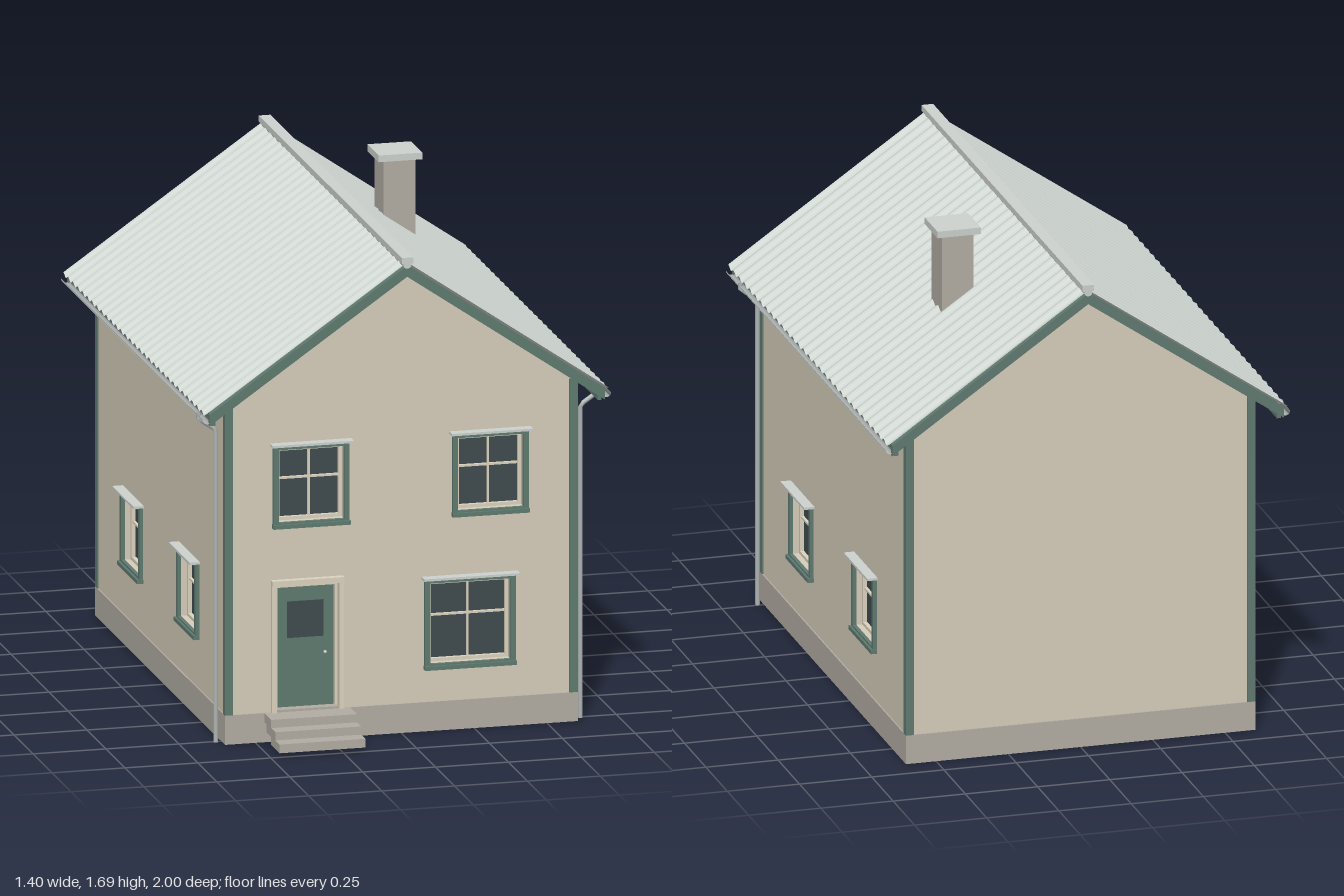
import * as THREE from 'three';

const mat = (color, extra = {}) => new THREE.MeshStandardMaterial({ color, ...extra });
const M = {
  wall: mat(0xd6cdbb), trim: mat(0x5f7a70), cream: mat(0xdcd3bf), glass: mat(0x3f4b4f),
  stone: mat(0xb2ada3), cap: mat(0xcdd2ce),
  sheet: mat(0xd3dad5, { flatShading: true, side: THREE.DoubleSide }),
  gutter: mat(0xaeb5b3, { side: THREE.DoubleSide }),
};

const HALF = 0.6, FRONT = 0.795, BACK = -0.905;       // wall faces
const ROOF_F = 0.88, ROOF_B = -1.0, EAVE = 0.678, SLOPE = 0.69;
const ROOF_MID = (ROOF_F + ROOF_B) / 2, ROOF_LEN = ROOF_F - ROOF_B;
const WALL_T = 0.05;

function add(parent, name, geometry, material, x = 0, y = 0, z = 0) {
  const mesh = new THREE.Mesh(geometry, material);
  mesh.name = name;
  mesh.position.set(x, y, z);
  parent.add(mesh);
  return mesh;
}

// Box given by its limits on each axis
function block(parent, name, material, [x0, x1], [y0, y1], [z0, z1]) {
  return add(parent, name, new THREE.BoxGeometry(x1 - x0, y1 - y0, z1 - z0), material,
    (x0 + x1) / 2, (y0 + y1) / 2, (z0 + z1) / 2);
}

const poly = (pts) => new THREE.Shape(pts.map(([x, y]) => new THREE.Vector2(x, y)));
const rect = (x0, x1, y0, y1) => poly([[x0, y0], [x1, y0], [x1, y1], [x0, y1]]);
const extrude = (shape, depth) => new THREE.ExtrudeGeometry(shape, { depth, bevelEnabled: false });

// Flat rectangular frame around a w x h opening
function ring(w, h, t, depth) {
  const s = rect(-w / 2 - t, w / 2 + t, -h / 2 - t, h / 2 + t);
  s.holes.push(rect(-w / 2, w / 2, -h / 2, h / 2));
  return extrude(s, depth);
}

// Recessed four-pane window; w x h is the wall opening, z = 0 the wall face
function addWindow(parent, { x, y, w, h }) {
  const g = new THREE.Group();
  g.name = 'window';
  g.position.set(x, y, 0);
  parent.add(g);
  const f = 0.011;
  add(g, 'windowTrim', ring(w, h, 0.018, 0.013), M.trim);
  add(g, 'windowFrame', ring(w - 2 * f, h - 2 * f, f, 0.02), M.cream, 0, 0, -0.04);
  add(g, 'windowPane', new THREE.BoxGeometry(w, h, 0.008), M.glass, 0, 0, -0.038);
  add(g, 'verticalBar', new THREE.BoxGeometry(0.007, h - f, 0.012), M.cream, 0, 0, -0.03);
  add(g, 'crossBar', new THREE.BoxGeometry(w - f, 0.007, 0.012), M.cream, 0, h * 0.075, -0.03);
  const o = w / 2 + 0.018;
  block(g, 'windowHood', M.cap, [-o - 0.009, o + 0.009], [h / 2 + 0.014, h / 2 + 0.022], [0, 0.036]);
  block(g, 'windowSill', M.trim, [-o - 0.002, o + 0.002], [-h / 2 - 0.02, -h / 2 - 0.006], [0, 0.021]);
}

// Wall panel with its outer face at local z = 0, plus its windows
function addFacade(parent, name, outline, windows, extraHoles = []) {
  const g = new THREE.Group();
  g.name = name;
  const shape = poly(outline);
  for (const { x, y, w, h } of windows) shape.holes.push(rect(x - w / 2, x + w / 2, y - h / 2, y + h / 2));
  shape.holes.push(...extraHoles);
  add(g, 'wall', extrude(shape, WALL_T), M.wall, 0, 0, -WALL_T);
  windows.forEach((w) => addWindow(g, w));
  parent.add(g);
  return g;
}

function addDoor(g) {
  const [x0, x1, y0, y1] = [-0.43, -0.215, 0.1, 0.535];
  for (const [a, b] of [[x0 - 0.016, x0], [x1, x1 + 0.016]]) {
    block(g, 'doorCasing', M.cream, [a, b], [y0, y1], [0, 0.016]);
  }
  block(g, 'doorHead', M.cream, [x0 - 0.016, x1 + 0.016], [y1, y1 + 0.019], [0, 0.022]);
  for (const [a, b] of [[x0, x0 + 0.009], [x1 - 0.009, x1]]) {
    block(g, 'doorJamb', M.cream, [a, b], [y0, y1], [-0.045, -0.01]);
  }
  block(g, 'doorLintel', M.cream, [x0, x1], [y1 - 0.012, y1], [-0.045, -0.01]);
  block(g, 'doorLeaf', M.trim, [x0, x1], [y0 + 0.006, y1], [-0.045, -0.025]);
  block(g, 'doorThreshold', M.stone, [x0, x1], [y0 - 0.01, y0 + 0.008], [-0.045, 0.008]);
  block(g, 'doorPane', M.glass, [-0.385, -0.26], [0.345, 0.47], [-0.03, -0.022]);
  add(g, 'doorHandle', new THREE.SphereGeometry(0.006, 12, 8), M.cap, -0.255, 0.29, -0.019);
}

// Inverted V band following the roof pitch
function chevron(top, bottom, reach, depth) {
  const d = SLOPE * reach;
  return extrude(poly([[-reach, bottom - d], [0, bottom], [reach, bottom - d],
    [reach, top - d], [0, top], [-reach, top - d]]), depth);
}

// One corrugated roof slope towards +x, centred on z = 0
function corrugatedSlope() {
  const waves = 30, geo = new THREE.PlaneGeometry(ROOF_LEN, 1, waves * 6, 1);
  const p = geo.attributes.position;
  for (let i = 0; i < p.count; i++) {
    const z = -p.getX(i), x = (0.5 - p.getY(i)) * (EAVE + 0.012);
    const wave = 0.006 * Math.cos((z / ROOF_LEN + 0.5) * waves * Math.PI * 2);
    p.setXYZ(i, x, 1.632 - SLOPE * x + wave, z);
  }
  geo.computeVertexNormals();
  return geo;
}

function addRoof(parent) {
  const roof = new THREE.Group();
  roof.name = 'roof';
  parent.add(roof);
  add(roof, 'roofDeck', chevron(1.622, 1.597, EAVE - 0.008, ROOF_LEN - 0.01), M.trim, 0, 0, ROOF_B + 0.005);
  for (const z of [ROOF_B + 0.002, ROOF_F - 0.017]) {
    add(roof, 'bargeBoard', chevron(1.626, 1.588, EAVE, 0.015), M.trim, 0, 0, z);
  }
  const sheet = corrugatedSlope();
  for (const s of [1, -1]) {
    add(roof, 'corrugatedSheet', sheet, M.sheet, 0, 0, ROOF_MID).rotation.y = s > 0 ? 0 : Math.PI;
    // Half-round gutter under the eave
    const gutter = new THREE.CylinderGeometry(0.016, 0.016, ROOF_LEN - 0.01, 12, 1, true, Math.PI / 2, Math.PI);
    gutter.rotateX(-Math.PI / 2).rotateZ(Math.PI);
    const pos = gutter.attributes.position;
    for (let i = 0; i < pos.count; i++) pos.setY(i, -Math.abs(pos.getY(i)));
    add(roof, 'gutter', gutter, M.gutter, s * 0.684, 1.143, ROOF_MID);
    block(roof, 'fascia', M.trim, s > 0 ? [0.655, 0.669] : [-0.669, -0.655], [1.118, 1.155],
      [ROOF_B + 0.01, ROOF_F - 0.01]);
    // Downpipe swept from the gutter to the wall and down to the ground
    const path = new THREE.CurvePath();
    const pts = [[0.684, 1.135], [0.684, 1.115], [0.625, 1.075], [0.625, 0]]
      .map(([x, y]) => new THREE.Vector3(s * x, y, 0.757));
    for (let i = 0; i < 3; i++) path.add(new THREE.LineCurve3(pts[i], pts[i + 1]));
    add(roof, 'downpipe', new THREE.TubeGeometry(path, 60, 0.008, 10), M.gutter);
  }
  // Ridge capping
  block(roof, 'ridgeCap', M.cap, [-0.02, 0.02], [1.634, 1.655], [ROOF_B, ROOF_F + 0.003]);
  add(roof, 'ridgeRoll', new THREE.CylinderGeometry(0.014, 0.014, ROOF_LEN, 12), M.cap, 0, 1.63, ROOF_MID)
    .rotation.x = Math.PI / 2;
}

export function createModel() {
  const house = new THREE.Group();
  house.name = 'house';

  block(house, 'foundation', M.stone, [-0.605, 0.605], [0, 0.1], [-0.91, 0.8]);

  // Gable walls
  const top = 1.6, eave = top - SLOPE * HALF;
  const gable = [[-HALF, 0.08], [HALF, 0.08], [HALF, eave], [0, top], [-HALF, eave]];
  const front = addFacade(house, 'frontFacade', gable, [
    { x: -0.31, y: 0.877, w: 0.225, h: 0.25 },
    { x: 0.305, y: 0.877, w: 0.225, h: 0.25 },
    { x: 0.235, y: 0.37, w: 0.275, h: 0.277 },
  ], [rect(-0.43, -0.215, 0.1, 0.535)]);
  front.position.z = FRONT;
  addDoor(front);
  const back = addFacade(house, 'backFacade', gable, []);
  back.position.z = BACK;
  back.rotation.y = Math.PI;

  // Side walls, two windows each
  for (const s of [1, -1]) {
    const a = -s * (FRONT - WALL_T), b = -s * (BACK + WALL_T);
    const [l, r] = [Math.min(a, b), Math.max(a, b)];
    const side = addFacade(house, s > 0 ? 'leftFacade' : 'rightFacade',
      [[l, 0.08], [r, 0.08], [r, eave], [l, eave]],
      [0.315, -0.425].map((z) => ({ x: -s * z, y: 0.402, w: 0.222, h: 0.227 })));
    side.position.x = s * HALF;
    side.rotation.y = s * Math.PI / 2;
    // Corner boards
    for (const z of [[0.772, 0.8], [-0.91, -0.882]]) {
      block(house, 'cornerBoard', M.trim, s > 0 ? [0.577, 0.605] : [-0.605, -0.577], [0.1, 1.178], z);
    }
  }

  addRoof(house);

  // Chimney
  block(house, 'chimney', M.stone, [0.225, 0.335], [1.36, 1.666], [-0.418, -0.3]);
  block(house, 'chimneyCap', M.cap, [0.205, 0.355], [1.665, 1.688], [-0.435, -0.285]);

  // Three overlapping entrance steps
  [[0.79, 0.89], [0.832, 0.945], [0.888, 1.0]].forEach((z, i) => {
    block(house, 'entranceStep', M.stone, [-0.47, -0.175], [0.07 - i * 0.028, 0.1 - i * 0.028], z);
  });
  return house;
}
